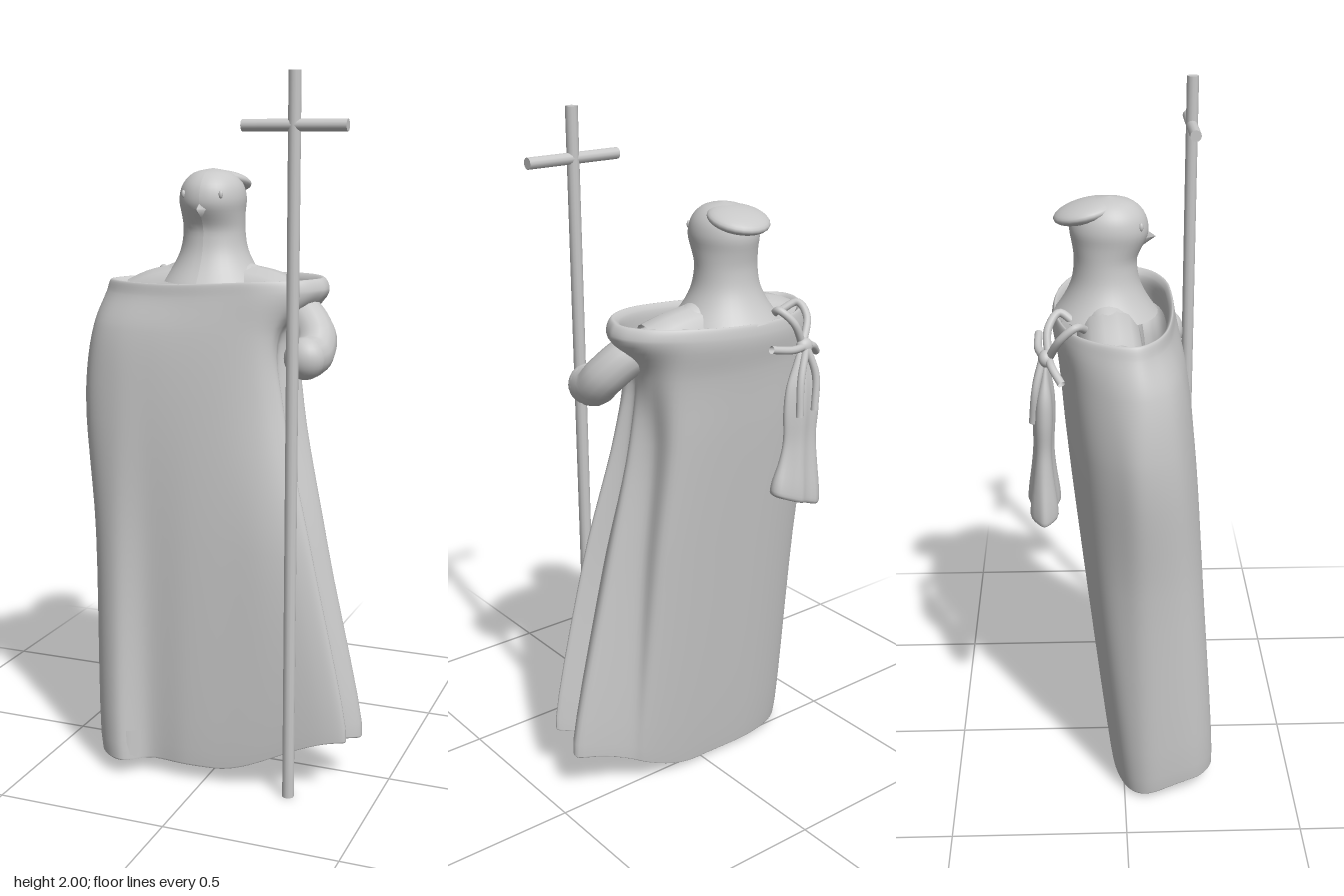
import * as THREE from 'three';

const stone = new THREE.MeshStandardMaterial({ color: 0xc8c8c8, side: THREE.DoubleSide });
stone.name = 'pale stone';

const V = (x, y, z) => new THREE.Vector3(x, y, z);
const smooth = THREE.MathUtils.smoothstep;

function add(parent, name, geometry, x = 0, y = 0, z = 0) {
  const mesh = new THREE.Mesh(geometry, stone);
  mesh.name = name;
  mesh.position.set(x, y, z);
  parent.add(mesh);
  return mesh;
}

function ellipsoid(parent, name, pos, radii) {
  const mesh = add(parent, name, new THREE.SphereGeometry(1, 24, 16), ...pos);
  mesh.scale.set(...radii);
  return mesh;
}

function tube(parent, name, points, radius) {
  const curve = new THREE.CatmullRomCurve3(points.map((p) => V(...p)));
  return add(parent, name, new THREE.TubeGeometry(curve, 24, radius, 14));
}

// smooth turned shape, reshaped vertex by vertex
function turned(points, move) {
  const curve = new THREE.SplineCurve(points.map((p) => new THREE.Vector2(...p)));
  const geo = new THREE.LatheGeometry(curve.getPoints(32).map((p) => p.setX(Math.max(p.x, 0))), 36);
  const pos = geo.attributes.position;
  for (let i = 0; i < pos.count; i++) {
    const v = move(V(0, 0, 0).fromBufferAttribute(pos, i));
    pos.setXYZ(i, v.x, v.y, v.z);
  }
  geo.computeVertexNormals();
  return geo;
}

// cloak outlines as [x, z], from hem to collar
const hem = [[-.35, .12], [-.315, .22], [-.24, .264], [-.165, .215], [-.05, .22], [.08, .212], [.22, .2], [.36, .187], [.415, .162],
  [.33, .118], [.395, .092], [.422, .035], [.27, -.01], [.2, -.03], [0, -.03], [-.18, -.03], [-.3, 0], [-.35, .05]];
const knee = [[-.385, .07], [-.35, .17], [-.27, .22], [-.17, .21], [-.05, .215], [.08, .208], [.18, .2], [.265, .18], [.305, .152],
  [.235, .115], [.285, .085], [.31, .025], [.225, -.02], [.19, -.085], [0, -.11], [-.18, -.11], [-.31, -.07], [-.37, 0]];
const chest = [[-.43, .05], [-.38, .14], [-.28, .185], [-.17, .195], [-.05, .195], [.06, .185], [.14, .165], [.185, .14], [.205, .115],
  [.18, .08], [.2, .05], [.23, .01], [.19, -.04], [.165, -.12], [0, -.155], [-.18, -.15], [-.33, -.1], [-.41, -.02]];
const shoulder = [[-.405, .04], [-.365, .11], [-.285, .15], [-.17, .168], [-.05, .172], [.06, .165], [.13, .15], [.17, .125], [.18, .095],
  [.18, .06], [.195, .03], [.215, 0], [.21, -.06], [.16, -.135], [0, -.175], [-.17, -.165], [-.3, -.12], [-.38, -.04]];
const neckline = [[-.37, .03], [-.33, .08], [-.26, .115], [-.17, .135], [-.05, .148], [.06, .148], [.14, .14], [.21, .115], [.255, .08],
  [.28, .035], [.29, 0], [.28, -.05], [.235, -.11], [.14, -.165], [0, -.192], [-.16, -.178], [-.28, -.13], [-.35, -.05]];

const hemY = (x, z) => .002 + .125 * smooth(x, .03, .42) + .035 * smooth(z, .02, .2);
const rimY = (x) => 1.42 + .02 * smooth(x, -.2, .25);

// each band: outline, scale about the middle, height; turned in at both ends
const bands = [
  [hem, .95, (x, z) => hemY(x, z) + .1],
  [hem, .985, (x, z) => hemY(x, z) + .01],
  [hem, 1, (x, z) => hemY(x, z) + .015],
  [knee, 1, () => .7],
  [chest, 1, () => 1.1],
  [shoulder, 1, () => 1.3],
  [neckline, 1, (x) => rimY(x) - .025],
  [neckline, .95, (x) => rimY(x) + .012],
  [neckline, .88, (x) => rimY(x) - .005],
  [neckline, .87, (x) => rimY(x) - .07],
];

function cloakGeometry() {
  const around = 126, up = 54;
  const rings = bands.map(([row, scale, height]) => {
    const curve = new THREE.CatmullRomCurve3(row.map(([x, z]) => V(x, 0, z)), true, 'catmullrom');
    const middle = V(-.05, 0, row === hem ? .09 : -.02);
    return Array.from({ length: around }, (_, i) => {
      const p = curve.getPoint(i / around);
      const y = height(p.x, p.z);
      return p.sub(middle).multiplyScalar(scale).add(middle).setY(y);
    });
  });
  const pos = [], index = [];
  for (let i = 0; i < around; i++) {
    const column = new THREE.CatmullRomCurve3(rings.map((ring) => ring[i]));
    for (let j = 0; j <= up; j++) {
      pos.push(...column.getPoint(j / up).toArray());
      if (j === up) continue;
      const a = i * (up + 1) + j, b = ((i + 1) % around) * (up + 1) + j;
      index.push(a, b, b + 1, a, b + 1, a + 1);
    }
  }
  const geo = new THREE.BufferGeometry();
  geo.setAttribute('position', new THREE.Float32BufferAttribute(pos, 3));
  geo.setIndex(index);
  geo.computeVertexNormals();
  return geo;
}

export function createModel() {
  const model = new THREE.Group();
  model.name = 'cloakedFigure';

  // cloak with turned-in collar and hem
  add(model, 'cloak', cloakGeometry());

  // body with broad sloping shoulders, leaning towards the feet
  add(model, 'body', turned(
    [[0, .15], [.17, .15], [.2, .5], [.21, 1], [.225, 1.25], [.23, 1.35], [.21, 1.42], [.155, 1.465], [.08, 1.49], [0, 1.5]],
    (v) => V(v.x - .06, v.y, v.z * .4 - .035 + .12 * (1.4 - v.y) / 1.4)));
  tube(model, 'shoulders', [[-.29, 1.35, -.03], [-.22, 1.38, -.035], [-.06, 1.4, -.04], [.1, 1.385, -.035], [.17, 1.36, -.02]], .085);
  for (const [x, y] of [[-.16, .085], [.13, .125]]) {
    ellipsoid(model, 'foot', [x, y, .11], [.055, .045, .08]);
    tube(model, 'leg', [[x, y, .09], [x * .9, .2, .08], [x * .8, .4, .07]], .045);
  }

  // right arm folded under the cloak
  tube(model, 'rightArm', [[-.29, 1.37, -.03], [-.34, 1.22, .01], [-.35, 1.12, .04], [-.29, 1.1, .09], [-.19, 1.12, .11]], .052);

  // head and neck
  const head = new THREE.Group();
  head.name = 'head';
  head.position.set(-.063, 0, -.045);
  model.add(head);
  add(head, 'skull', turned(
    [[.15, 1.43], [.118, 1.475], [.097, 1.52], [.089, 1.57], [.09, 1.62], [.094, 1.665], [.083, 1.705], [.052, 1.735], [0, 1.747]],
    (v) => {
      const s = smooth(v.y, 1.57, 1.65);
      return V(v.x, v.y, v.z * (.95 + .17 * s) + .01 * s);
    }));
  const cap = ellipsoid(head, 'backCap', [0, 1.708, -.052], [.087, .028, .088]);
  cap.rotation.x = -.25;
  const beak = add(head, 'beak', new THREE.ConeGeometry(.028, .04, 4), 0, 1.637, .115);
  beak.rotation.x = Math.PI / 2;
  for (const side of [-1, 1]) ellipsoid(head, 'eye', [side * .056, 1.677, .093], [.006, .011, .006]);

  // bent left arm and fist holding the staff
  tube(model, 'leftArm', [[.15, 1.37, 0], [.225, 1.35, .02], [.277, 1.295, .06], [.283, 1.258, .1], [.275, 1.25, .145]], .058);
  ellipsoid(model, 'fist', [.275, 1.25, .145], [.058, .058, .05]);

  // cross staff
  add(model, 'staff', new THREE.CylinderGeometry(.017, .017, 2, 12), .26, 1, .207);
  add(model, 'crossbar', new THREE.CylinderGeometry(.016, .016, .286, 12), .26, 1.863, .207).rotation.z = Math.PI / 2;

  // pouch tied to the back of the collar
  const pouch = new THREE.Group();
  pouch.name = 'pouch';
  model.add(pouch);
  add(pouch, 'bag', turned(
    [[0, .9], [.078, .9], [.088, .93], [.068, 1.02], [.058, 1.09], [.062, 1.17], [.056, 1.24], [.034, 1.3], [.014, 1.35]],
    (v) => V(v.x - .195 - .06 * (v.y - 1.1), v.y + .025 * v.x / .07 * smooth(1.1 - v.y, 0, .2),
      v.z * (.45 + .07 * Math.sin(v.x * 90)) - .22 + .08 * (v.y - .95) ** 2)));
  ellipsoid(pouch, 'knot', [-.215, 1.35, -.207], [.026, .024, .02]);
  const cords = [
    [[-.215, 1.35, -.2], [-.26, 1.42, -.165], [-.26, 1.452, -.125], [-.22, 1.43, -.1]],
    [[-.215, 1.35, -.2], [-.18, 1.42, -.2], [-.15, 1.455, -.17], [-.16, 1.43, -.13]],
    [[-.215, 1.35, -.21], [-.15, 1.355, -.228], [-.075, 1.37, -.228]],
    [[-.215, 1.35, -.2], [-.26, 1.34, -.19], [-.3, 1.31, -.165]],
    [[-.215, 1.35, -.215], [-.235, 1.27, -.235], [-.225, 1.17, -.245]],
    [[-.215, 1.35, -.215], [-.18, 1.26, -.235], [-.17, 1.16, -.245]],
  ];
  for (const c of cords) tube(pouch, 'cord', c, .011);

  return model;
}
